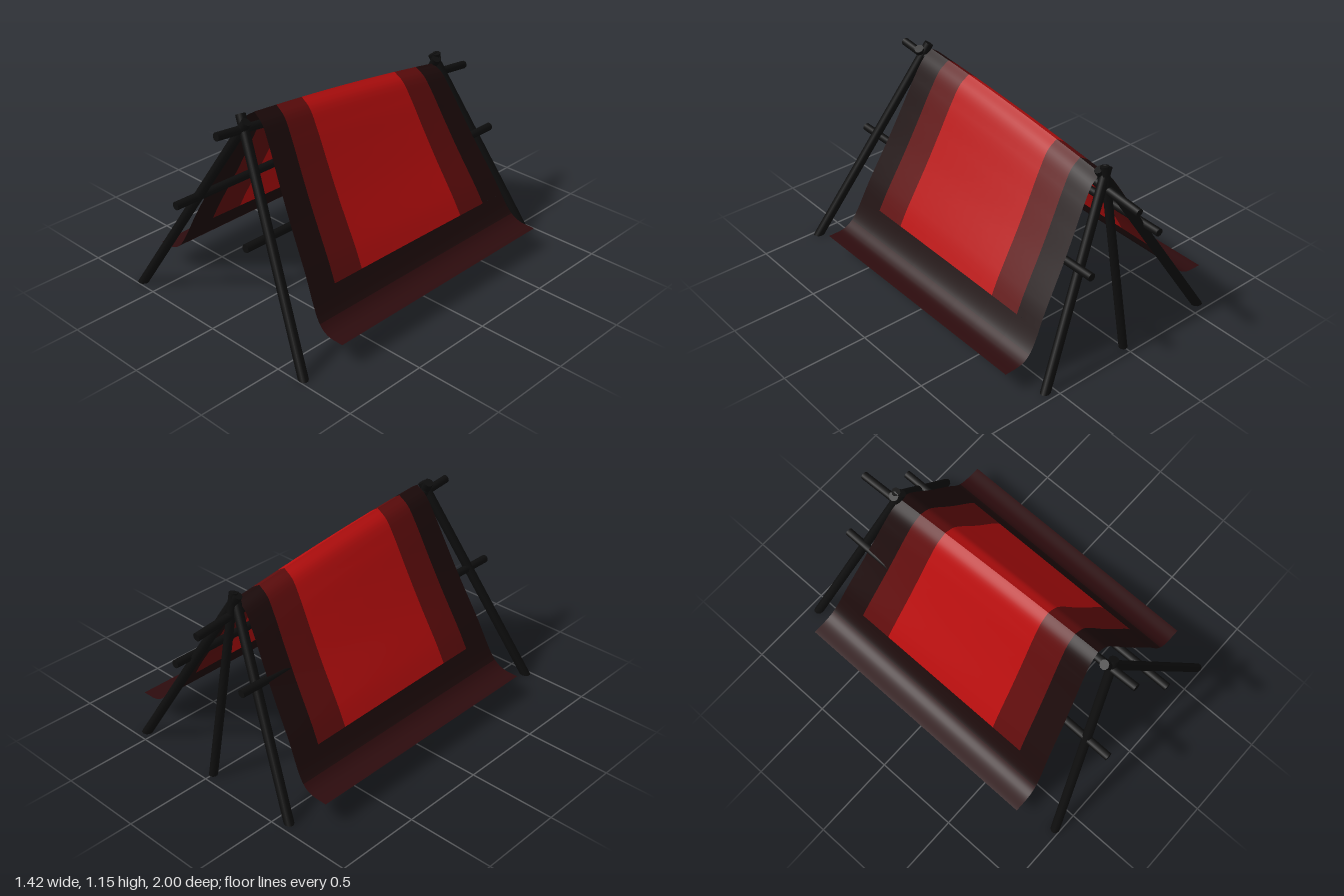
import * as THREE from 'three';
import { ParametricGeometry } from 'three/addons/geometries/ParametricGeometry.js';

const V = (x, y, z) => new THREE.Vector3(x, y, z);

// Straight round pole between two points; legs are cut level with the ground.
function pole(name, from, to, radius = 0.027) {
  const dir = to.clone().sub(from);
  const length = dir.length();
  dir.normalize();
  const geo = new THREE.CylinderGeometry(radius, radius, length, 10);
  geo.applyQuaternion(new THREE.Quaternion().setFromUnitVectors(V(0, 1, 0), dir));
  const mid = from.clone().add(to).multiplyScalar(0.5);
  geo.translate(mid.x, mid.y, mid.z);
  if (from.y === 0) {
    const pos = geo.attributes.position;
    for (let i = 0; i < pos.count; i++) {
      const p = V().fromBufferAttribute(pos, i);
      if (p.y < 0.06) {
        p.addScaledVector(dir, -p.y / dir.y);
        pos.setXYZ(i, p.x, p.y, p.z);
      }
    }
  }
  const mesh = new THREE.Mesh(geo, new THREE.MeshStandardMaterial({ color: 0x0d0d0d }));
  mesh.name = name;
  return mesh;
}

// Half cross-section of the cloth: x outward, y as a fraction of ridge height over hem.
const profile = new THREE.CatmullRomCurve3([
  V(0, 1, 0), V(0.06, 0.955, 0), V(0.12, 0.855, 0), V(0.2, 0.695, 0), V(0.29, 0.52, 0),
  V(0.42, 0.285, 0), V(0.545, 0.05, 0), V(0.605, 0.008, 0), V(0.71, 0, 0),
], false, 'centripetal');

const HEM = 0.125;

// Point on the cloth: u runs front to back, v runs ridge to hem.
function clothPoint(side, u, v, target) {
  const p = profile.getPoint(v);
  const ridge = 1.14 - 0.165 * u + 0.06 * u * (1 - u);
  const front = THREE.MathUtils.lerp(0.757, 0.655, p.y);
  const back = THREE.MathUtils.lerp(-0.823, -0.72, p.y);
  target.set(side * p.x, HEM + p.y * (ridge - HEM), THREE.MathUtils.lerp(front, back, u));
}

function clothPatch(name, color, side, [u0, u1], [v0, v1]) {
  const geo = new ParametricGeometry((a, b, target) => {
    clothPoint(side, u0 + a * (u1 - u0), v0 + b * (v1 - v0), target);
  }, 8, 32);
  const mesh = new THREE.Mesh(geo, new THREE.MeshStandardMaterial({ color, side: THREE.DoubleSide }));
  mesh.name = name;
  return mesh;
}

export function createModel() {
  const model = new THREE.Group();

  // Crossed legs at each end
  const legs = new THREE.Group();
  legs.name = 'legs';
  legs.add(
    pole('frontLeftLeg', V(0.65, 0, 0.97), V(-0.03, 1.14, 0.72)),
    pole('frontRightLeg', V(-0.62, 0, 0.97), V(0.03, 1.12, 0.735)),
    pole('backLeftLeg', V(0.55, 0, -0.945), V(-0.025, 1.02, -0.74)),
    pole('backRightLeg', V(-0.57, 0, -0.945), V(0.02, 1.01, -0.725)),
    pole('backCentreLeg', V(0, 0, -0.945), V(0, 1.03, -0.745), 0.024),
  );
  model.add(legs);

  // Ridge pole and the two side rails
  const rails = new THREE.Group();
  rails.name = 'rails';
  rails.add(
    pole('ridgePole', V(0, 1.09, 0.91), V(0, 0.88, -1), 0.023),
    pole('leftRail', V(0.26, 0.59, 0.975), V(0.255, 0.58, -0.945), 0.023),
    pole('rightRail', V(-0.255, 0.632, 0.99), V(-0.235, 0.62, -0.93), 0.023),
  );
  model.add(rails);

  // Cloth: red in the middle, darkening toward both ends and the flared hem
  const cloth = new THREE.Group();
  cloth.name = 'cloth';
  const bands = [
    ['frontEdge', 0x1c0a0a, 0, 0.11], ['frontBand', 0x600c0c, 0.11, 0.24],
    ['centrePanel', 0xb80e0e, 0.24, 0.76],
    ['backBand', 0x600c0c, 0.76, 0.89], ['backEdge', 0x1c0a0a, 0.89, 1],
  ];
  for (const [label, side] of [['left', 1], ['right', -1]]) {
    for (const [name, color, u0, u1] of bands) {
      cloth.add(clothPatch(`${label} ${name}`, color, side, [u0, u1], [0, 0.68]));
    }
    cloth.add(clothPatch(`${label} lowerBand`, 0x1c0a0a, side, [0, 1], [0.68, 0.76]));
    cloth.add(clothPatch(`${label} hem`, 0x2c0b0d, side, [0, 1], [0.76, 1]));
  }
  model.add(cloth);
  return model;
}
